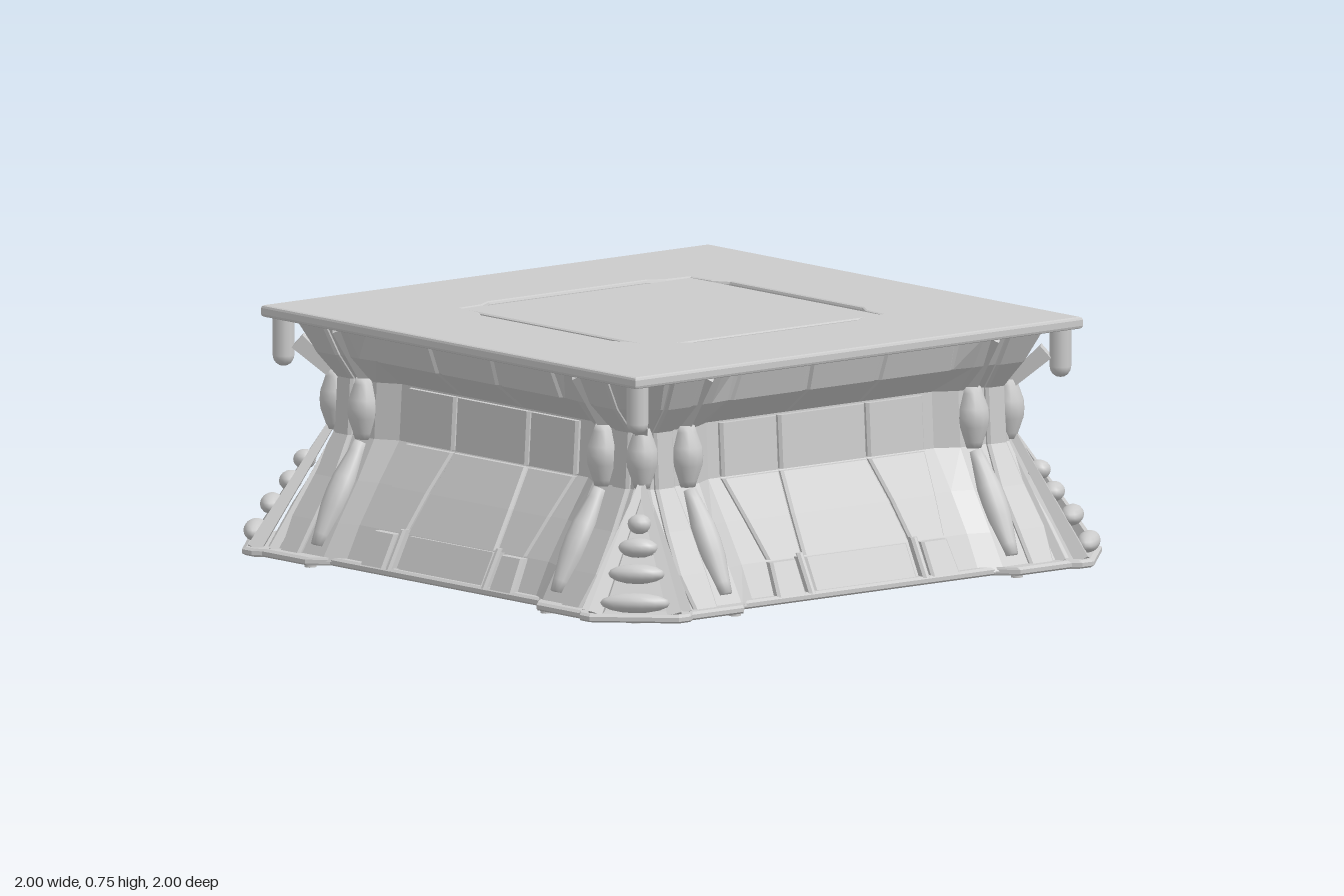
import * as THREE from 'three';

const V = (x, y, z) => new THREE.Vector3(x, y, z);
const material = new THREE.MeshStandardMaterial({ color: 0xcccccc });

function add(parent, name, geometry) {
  const mesh = new THREE.Mesh(geometry, material);
  mesh.name = name;
  parent.add(mesh);
  return mesh;
}

// Skin a stack of closed rings (bottom to top) and cap both ends.
function loft(rings) {
  const out = [];
  const tri = (...pts) => pts.forEach((p) => out.push(p.x, p.y, p.z));
  const n = rings[0].length;
  const centre = (r) => r.reduce((s, p) => s.add(p), V(0, 0, 0)).divideScalar(n);
  for (let i = 0; i < n; i++) {
    const j = (i + 1) % n;
    for (let k = 0; k + 1 < rings.length; k++) {
      const a = rings[k], b = rings[k + 1];
      tri(a[i], a[j], b[j]);
      tri(a[i], b[j], b[i]);
    }
    const low = rings[0], high = rings[rings.length - 1];
    tri(centre(low), low[j], low[i]);
    tri(centre(high), high[i], high[j]);
  }
  const g = new THREE.BufferGeometry();
  g.setAttribute('position', new THREE.Float32BufferAttribute(out, 3));
  g.computeVertexNormals();
  return g;
}

// Repeat one side's [x, z] points around all four sides.
function fourSides(points, y) {
  const ring = [];
  for (let s = 0; s < 4; s++) {
    for (const [x, z] of points) ring.push(V(x, y, z).applyAxisAngle(V(0, 1, 0), s * Math.PI / 2));
  }
  return ring;
}

const mirrored = (half) => [...half.map(([x, z]) => [-x, z]).reverse(), ...half];

// Levels of the body: height, wall depth, flank depth, corner start
const LEVELS = [
  [0.02, 0.905, 0.94, 0.77], [0.13, 0.85, 0.875, 0.75], [0.25, 0.775, 0.80, 0.72],
  [0.37, 0.695, 0.735, 0.70], [0.54, 0.685, 0.725, 0.69], [0.62, 0.785, 0.795, 0.71],
  [0.72, 0.82, 0.85, 0.74],
];

function depthAt(y, column) {
  let k = 0;
  while (k < LEVELS.length - 2 && y > LEVELS[k + 1][0]) k++;
  const a = LEVELS[k], b = LEVELS[k + 1];
  return THREE.MathUtils.lerp(a[column], b[column], (y - a[0]) / (b[0] - a[0]));
}

// Raised panel following the wall; rows are [y, xLeft, xRight].
function panel(rows, column = 1, t = 0.016) {
  const b = 0.008;
  return loft(rows.map(([y, l, r]) => {
    const z = depthAt(y, column);
    return [V(l, y, z - 0.01), V(l, y, z + t - b), V(l + b, y, z + t),
      V(r - b, y, z + t), V(r, y, z + t - b), V(r, y, z - 0.01)];
  }));
}

function place(mesh, a, b) {
  mesh.position.copy(a).add(b).multiplyScalar(0.5);
  mesh.quaternion.setFromUnitVectors(V(0, 1, 0), b.clone().sub(a).normalize());
}

// Swollen, blunt-ended boss between two points
function boss(parent, name, a, b, r) {
  const h = a.distanceTo(b);
  const profile = [[0, -0.5], [0.5, -0.5], [0.62, -0.4], [0.95, -0.15], [1, 0], [0.95, 0.15], [0.62, 0.4], [0.5, 0.5], [0, 0.5]];
  const g = new THREE.LatheGeometry(profile.map(([x, y]) => new THREE.Vector2(x * r, y * h)), 12);
  place(add(parent, name, g), a, b);
}

function beam(parent, name, a, b, ra, rb) {
  const g = new THREE.CylinderGeometry(rb, ra, a.distanceTo(b), 4).toNonIndexed();
  g.computeVertexNormals();
  place(add(parent, name, g), a, b);
}

function createSide() {
  const side = new THREE.Group();
  side.name = 'side';
  // Central column of wall panels
  add(side, 'lowerCentrePanel', panel([[0.135, -0.205, 0.205], [0.25, -0.19, 0.19], [0.367, -0.168, 0.168]]));
  add(side, 'middleCentrePanel', panel([[0.374, -0.168, 0.168], [0.535, -0.168, 0.168]]));
  add(side, 'upperCentrePanel', panel([[0.545, -0.135, 0.135], [0.62, -0.132, 0.132], [0.71, -0.14, 0.14]], 1, 0.008));
  add(side, 'footCentrePanel', panel([[0.03, -0.2, 0.2], [0.128, -0.2, 0.2]], 1, 0.008));
  for (const s of [-1, 1]) {
    const span = (y, a, b) => (s > 0 ? [y, a, b] : [y, -b, -a]);
    add(side, 'lowerOuterPanel', panel([span(0.135, 0.212, 0.345), span(0.25, 0.197, 0.37), span(0.367, 0.175, 0.395)]));
    add(side, 'middleOuterPanel', panel([span(0.374, 0.175, 0.395), span(0.535, 0.175, 0.395)]));
    add(side, 'upperOuterPanel', panel([span(0.545, 0.15, 0.4), span(0.62, 0.147, 0.43), span(0.71, 0.15, 0.42)], 1, 0.008));
    add(side, 'footBlock', panel([span(0.03, 0.21, 0.235), span(0.145, 0.21, 0.235)], 1, 0.028));
    add(side, 'footBlock', panel([span(0.03, 0.245, 0.355), span(0.128, 0.245, 0.345)], 1, 0.024));
    // Ribbon beside the corner
    add(side, 'flankRibbon', panel([
      span(0.03, 0.61, 0.70), span(0.13, 0.605, 0.715), span(0.25, 0.6, 0.70), span(0.37, 0.61, 0.685),
      span(0.54, 0.61, 0.685), span(0.62, 0.595, 0.70), span(0.71, 0.595, 0.715)], 2, 0.014));
    // Column of bosses
    const x = s * 0.558;
    const at = (y, lift) => V(x, y, depthAt(y, 2) + lift);
    boss(side, 'lowerColumnBoss', at(0.06, 0), at(0.355, 0.005), 0.042);
    boss(side, 'middleColumnBoss', at(0.365, 0), at(0.55, 0), 0.05);
    beam(side, 'upperColumnStrut', at(0.545, -0.01), at(0.71, -0.005), 0.03, 0.022);
  }
  return side;
}

function createCorner() {
  const corner = new THREE.Group();
  corner.name = 'corner';
  const D = (d, y) => V(d, y, d);
  // Splayed fins of the buttress
  const apex = D(0.725, 0.385);
  for (const swap of [false, true]) {
    const flip = (x, y, z) => (swap ? V(z, y, x) : V(x, y, z));
    beam(corner, 'buttressFin', flip(0.795, 0.025, 0.965), apex, 0.03, 0.016);
    beam(corner, 'innerFin', flip(0.73, 0.025, 0.945), flip(0.705, 0.34, 0.735), 0.02, 0.012);
  }
  // Rounded rungs between the fins, narrowing upward
  [[0.065, 0.885, 0.105], [0.145, 0.85, 0.085], [0.215, 0.81, 0.06], [0.28, 0.78, 0.036]].forEach(([y, d, half]) => {
    const rung = add(corner, 'buttressRung', new THREE.SphereGeometry(1, 14, 8));
    rung.position.copy(D(d, y));
    rung.scale.set(half, 0.03, 0.035);
    rung.rotation.y = Math.PI / 4;
  });
  boss(corner, 'cornerBoss', D(0.715, 0.375), D(0.715, 0.555), 0.048);
  beam(corner, 'cornerStrut', D(0.715, 0.54), D(0.795, 0.64), 0.025, 0.035);
  // Hanging capsule under the top edge
  const capsule = add(corner, 'hangingCapsule', new THREE.CapsuleGeometry(0.033, 0.11, 4, 12));
  capsule.position.copy(D(0.825, 0.65));
  return corner;
}

export function createModel() {
  const model = new THREE.Group();
  model.name = 'plinth';

  // Base slab with widened corner pads
  const slabHalf = [[0.49, 0.925], [0.54, 0.98], [0.74, 0.98], [0.765, 1], [0.81, 1], [0.98, 0.83]];
  const slabRing = (y, k) => fourSides(mirrored(slabHalf.slice(0, 5)).map(([x, z]) => [x * k, z * k]), y);
  add(model, 'baseSlab', loft([slabRing(0.008, 0.992), slabRing(0.014, 1), slabRing(0.026, 1), slabRing(0.033, 0.99)]));

  // Waisted body
  add(model, 'body', loft(LEVELS.map(([y, w, f, c]) => fourSides(mirrored([[0.44, w], [0.51, f], [c, f]]), y))));

  for (let i = 0; i < 4; i++) {
    for (const part of [createSide(), createCorner()]) {
      part.rotation.y = i * Math.PI / 2;
      model.add(part);
    }
    // Small feet under each pad
    for (const [x, z] of [[0.55, 0.95], [0.95, 0.55], [0.86, 0.86]]) {
      const foot = add(model, 'foot', new THREE.CylinderGeometry(0.018, 0.018, 0.012, 10));
      foot.position.set(x, 0.006, z).applyAxisAngle(V(0, 1, 0), i * Math.PI / 2);
    }
  }

  // Top plate with a notched square opening
  const square = (h) => [[-h, -h], [h, -h], [h, h], [-h, h]].map(([x, y]) => new THREE.Vector2(x, y));
  const plate = new THREE.Shape(square(0.865));
  const opening = fourSides(mirrored([[0.31, 0.49], [0.36, 0.46], [0.452, 0.452]]).slice(0, 5), 0);
  plate.holes.push(new THREE.Path(opening.map((p) => new THREE.Vector2(p.x, p.z))));
  const plateGeometry = new THREE.ExtrudeGeometry(plate, {
    depth: 0.018, bevelEnabled: true, bevelThickness: 0.009, bevelSize: 0.008, bevelSegments: 2,
  });
  const top = add(model, 'topPlate', plateGeometry);
  top.rotation.x = -Math.PI / 2;
  top.position.y = 0.718;

  // Recess floor and the inset panel
  const floor = add(model, 'recessFloor', new THREE.BoxGeometry(1.02, 0.018, 1.02));
  floor.position.y = 0.719;
  const inset = (y, h) => fourSides([[-h, h]], y);
  add(model, 'insetPanel', loft([inset(0.72, 0.45), inset(0.738, 0.45), inset(0.742, 0.444)]));
  return model;
}
